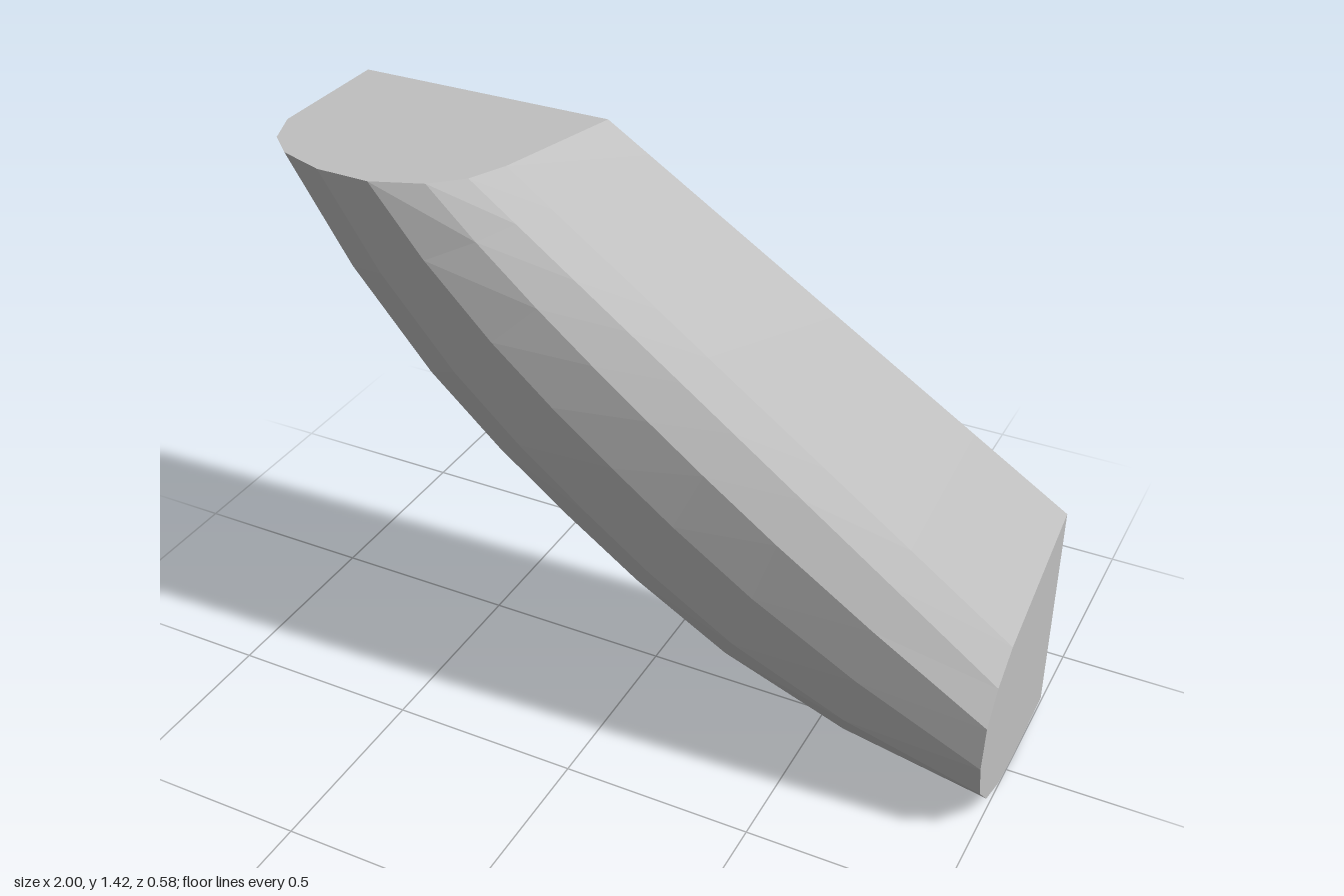
import * as THREE from 'three';

// Top outline as [x, z] at y = TOP, and end outline as [y, z] at x = 1,
// both running from the back lower edge round the front to the back upper edge
const TOP = 1.42;
const topOutline = [[-1, -0.29], [-1, 0.07], [-0.96, 0.17], [-0.89, 0.235], [-0.765, 0.277],
  [-0.62, 0.28], [-0.49, 0.23], [-0.415, 0.16], [-0.37, 0.06], [-0.28, -0.29]];
const endOutline = [[0.015, -0.29], [0.0, -0.05], [0.01, 0.07], [0.045, 0.17], [0.12, 0.24],
  [0.22, 0.265], [0.335, 0.25], [0.415, 0.19], [0.475, 0.10], [0.615, -0.29]];
// Lower curve as [x, y], and how far each outline point follows its bulge
const keel = [[-1, 1.42], [-0.82, 1.145], [-0.6, 0.89], [-0.4, 0.71], [-0.2, 0.555],
  [0, 0.41], [0.26, 0.25], [0.6, 0.105], [1, 0]];
const follow = [1, 1, 1, 1, 0.85, 0.45, 0.15, 0, 0, 0];

// Cross-sections lofted from the top outline to the end outline
function makeSections() {
  return keel.map(([kx, ky]) => {
    const t = (kx + 1) / 2;
    const sag = ky - TOP * (1 - t);
    return topOutline.map(([x, z], j) => {
      const [ey, ez] = endOutline[j];
      const swell = j > 1 && j < 7 ? 0.016 * Math.sin(Math.PI * t) : 0;
      return new THREE.Vector3(
        THREE.MathUtils.lerp(x, 1, t),
        THREE.MathUtils.lerp(TOP, ey, t) + sag * follow[j],
        THREE.MathUtils.lerp(z, ez, t) + swell);
    });
  });
}

function meshFrom(name, points, material) {
  const geometry = new THREE.BufferGeometry().setFromPoints(points);
  geometry.computeVertexNormals();
  const mesh = new THREE.Mesh(geometry, material);
  mesh.name = name;
  return mesh;
}

// Flat convex face as a fan of triangles
function fan(loop) {
  const points = [];
  for (let i = 1; i < loop.length - 1; i++) points.push(loop[0], loop[i], loop[i + 1]);
  return points;
}

export function createModel() {
  const group = new THREE.Group();
  group.name = 'curvedBlock';
  const grey = new THREE.MeshStandardMaterial({ color: 0xc0c0c0 });
  grey.name = 'light grey';

  const sections = makeSections();
  const last = sections.length - 1;

  // Faceted curved shell
  const shell = [];
  for (let i = 0; i < last; i++) {
    for (let j = 0; j < topOutline.length - 1; j++) {
      const a = sections[i][j], b = sections[i + 1][j];
      const c = sections[i + 1][j + 1], d = sections[i][j + 1];
      shell.push(a, b, c, a, c, d);
    }
  }
  group.add(meshFrom('curvedShell', shell, grey));

  // Flat top, end and back
  group.add(meshFrom('topFace', fan(sections[0]), grey));
  group.add(meshFrom('endFace', fan([...sections[last]].reverse()), grey));
  const lower = sections.map((s) => s[0]);
  const upperEdge = [sections[last].at(-1), sections[0].at(-1)];
  group.add(meshFrom('backFace', fan([...lower, ...upperEdge].reverse()), grey));

  return group;
}
